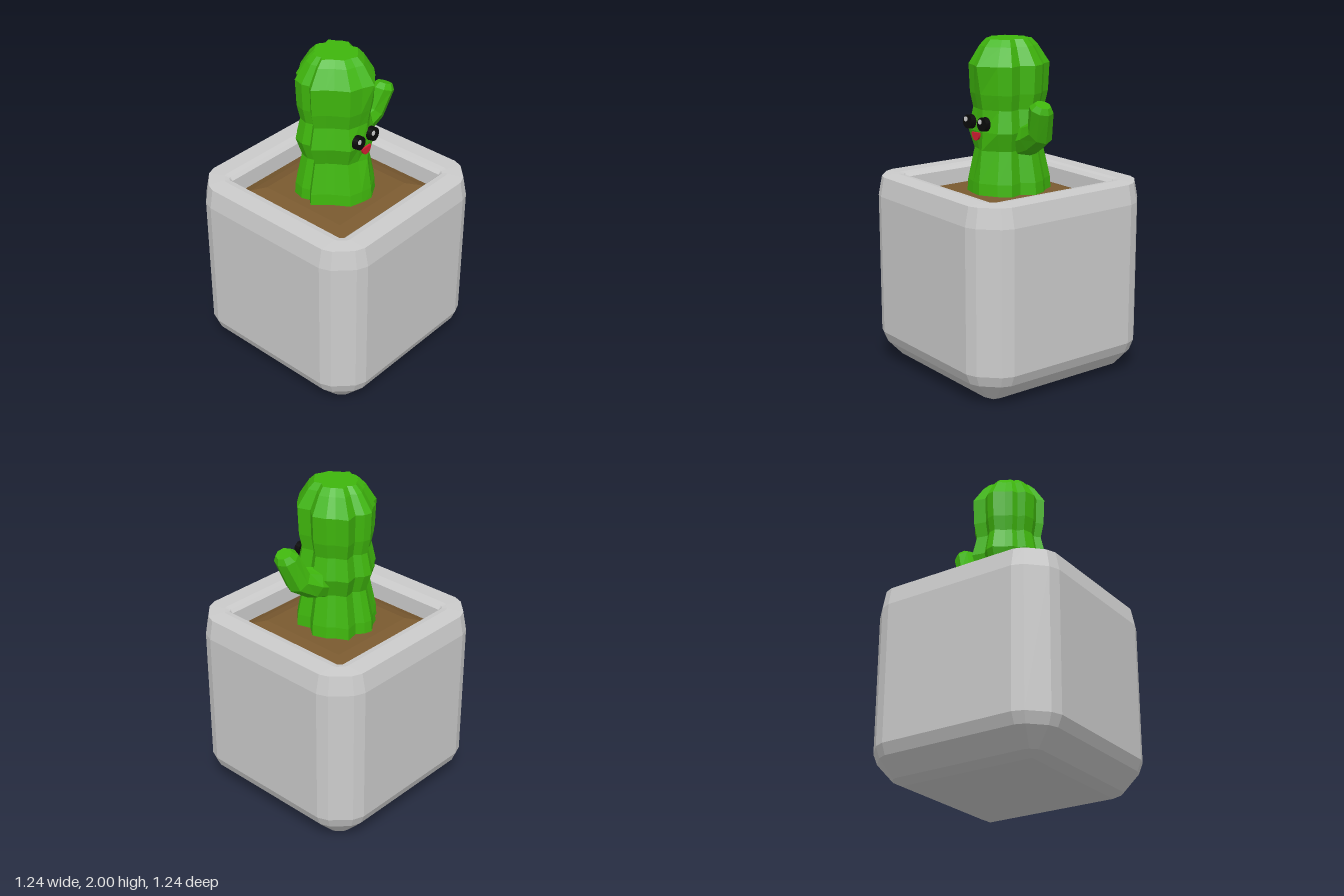
import * as THREE from 'three';

const mat = (color) => new THREE.MeshStandardMaterial({ color, flatShading: true });

// Skin a list of equal-length rings (counter-clockwise about the path), closing the chosen ends.
function loft(rings, capStart, capEnd) {
  const n = rings[0].length, pos = [], idx = [];
  rings.forEach((r) => r.forEach((p) => pos.push(...p)));
  for (let i = 0; i < rings.length - 1; i++) {
    for (let j = 0; j < n; j++) {
      const k = (j + 1) % n, a = i * n + j, b = i * n + k, c = b + n, d = a + n;
      idx.push(a, b, c, a, c, d);
    }
  }
  const cap = (row, flip) => {
    const mid = [0, 1, 2].map((c) => rings[row].reduce((s, p) => s + p[c], 0) / n);
    const m = pos.length / 3;
    pos.push(...mid);
    for (let j = 0; j < n; j++) {
      const a = row * n + j, b = row * n + (j + 1) % n;
      idx.push(...(flip ? [m, b, a] : [m, a, b]));
    }
  };
  if (capStart) cap(0, true);
  if (capEnd) cap(rings.length - 1, false);
  let g = new THREE.BufferGeometry();
  g.setAttribute('position', new THREE.Float32BufferAttribute(pos, 3));
  g.setIndex(idx);
  g = g.toNonIndexed();
  g.computeVertexNormals();
  return g;
}

function part(parent, name, geometry, color) {
  const m = new THREE.Mesh(geometry, mat(color));
  m.name = name;
  parent.add(m);
  return m;
}

// Square of half-width h whose corners are rounded beyond a 0.43 core.
function squareRing([h, y]) {
  const c = Math.min(h, 0.43), r = h - c, ring = [];
  const arc = [[1, 0], [0.87, 0.34], [0.34, 0.87], [0, 1]];
  for (let q = 0; q < 4; q++) {
    for (const [u, v] of arc) {
      let x = c + r * u, z = -(c + r * v);
      for (let k = 0; k < q; k++) [x, z] = [z, -x];
      ring.push([x, y, z]);
    }
  }
  return ring;
}

function makeCactusBody() {
  // Ribbed outline seen from above (x, z)
  const outline = [
    [-0.25, 0.03], [-0.215, -0.01], [-0.23, -0.06], [-0.21, -0.13], [-0.16, -0.145],
    [-0.145, -0.18], [-0.1, -0.2], [-0.04, -0.245], [0.01, -0.235], [0.05, -0.2],
    [0.13, -0.22], [0.165, -0.15], [0.2, -0.11], [0.23, -0.03], [0.175, 0.04],
    [0.2, 0.12], [0.14, 0.18], [0.04, 0.26], [-0.03, 0.23], [-0.11, 0.21],
    [-0.16, 0.13], [-0.19, 0.09],
  ].reverse();
  // Height, width factor, front depth limit (flattened behind the face)
  const levels = [
    [1.06, 1.03, 0.245], [1.17, 1.0, 0.24], [1.36, 0.83, 0.215], [1.47, 0.98, 0.212],
    [1.6, 0.86, 0.208], [1.69, 0.94, 0.225], [1.855, 0.97, 0.26], [1.96, 0.7, 0.2], [2.0, 0.54, 0.14],
  ];
  return loft(levels.map(([y, f, zMax]) =>
    outline.map(([x, z]) => [x * f, y, Math.min(z * f, zMax)])), false, true);
}

function makeArm() {
  // Centre x, y, z, radius, lean angle in degrees
  const path = [
    [0.12, 1.405, -0.02, 0.095, 15], [0.22, 1.44, -0.015, 0.093, 20], [0.31, 1.485, 0.005, 0.08, 45],
    [0.365, 1.63, 0.04, 0.072, 68], [0.382, 1.66, 0.042, 0.048, 68],
  ];
  return loft(path.map(([x, y, z, r, deg]) => {
    const t = deg * Math.PI / 180, ring = [];
    for (let j = 0; j < 8; j++) {
      const a = j / 8 * Math.PI * 2, u = r * Math.cos(a), v = r * Math.sin(a);
      ring.push([x + v * Math.sin(t), y - v * Math.cos(t), z + u]);
    }
    return ring;
  }), false, true);
}

export function createModel() {
  const model = new THREE.Group();
  model.name = 'pottedCactus';

  // Pot: bevelled foot, straight walls, bevelled rim and inner wall
  part(model, 'pot', loft([
    [0.43, 0], [0.495, 0.03], [0.595, 0.135], [0.622, 0.2], [0.622, 1.055],
    [0.598, 1.17], [0.49, 1.175], [0.455, 1.17], [0.435, 1.15], [0.43, 1.03],
  ].map(squareRing), true, false), 0xcccccc);

  // Soil: shallow mound
  part(model, 'soil', loft([[0.43, 1.05], [0.36, 1.08], [0.29, 1.1]].map(squareRing), false, true), 0x7a5a30);

  // Cactus
  const cactus = new THREE.Group();
  cactus.name = 'cactus';
  model.add(cactus);
  part(cactus, 'cactusBody', makeCactusBody(), 0x3fb60d);
  part(cactus, 'cactusArm', makeArm(), 0x3fb60d);

  // Face
  const face = new THREE.Group();
  face.name = 'face';
  cactus.add(face);
  for (const s of [-1, 1]) {
    const eye = new THREE.Group();
    eye.name = s > 0 ? 'leftEye' : 'rightEye';
    eye.position.set(s * 0.064, 1.522, 0.226 - s * 0.004);
    eye.rotation.set(-0.08, 0.06, 0);
    const disc = new THREE.CylinderGeometry(0.04, 0.042, 0.034, 20).rotateX(Math.PI / 2);
    part(eye, 'eyeDisc', disc, 0x0a0a0a);
    part(eye, 'eyeGlint', new THREE.CylinderGeometry(0.015, 0.015, 0.006, 12).rotateX(Math.PI / 2), 0xffffff)
      .position.set(-0.014, 0.013, 0.017);
    face.add(eye);
  }
  const smile = new THREE.Shape();
  smile.moveTo(-0.037, 0.022);
  smile.absellipse(0, 0.018, 0.037, 0.045, Math.PI, Math.PI * 2, false);
  smile.lineTo(0.037, 0.022);
  part(face, 'mouth', new THREE.ExtrudeGeometry(smile, { depth: 0.012, bevelEnabled: false, curveSegments: 10 }), 0xd81e34)
    .position.set(0, 1.447, 0.224);

  return model;
}
